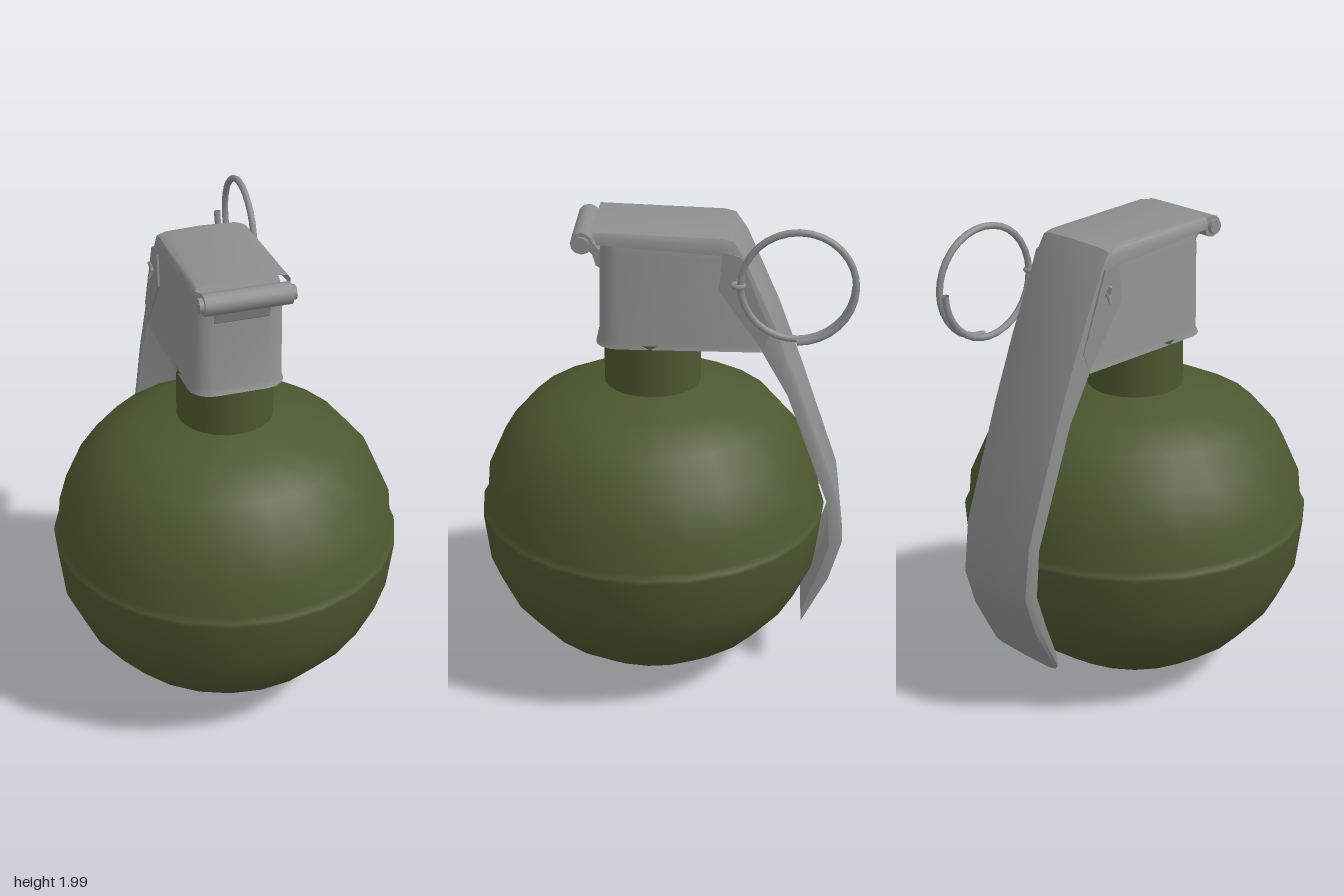
import * as THREE from 'three';
import { toCreasedNormals } from 'three/addons/utils/BufferGeometryUtils.js';

// Skin a list of equal-length point rows; optionally close each row and cap both ends
function loft(rows, closed, capped) {
  const n = rows[0].length, index = [], pos = rows.flat(2);
  const cols = closed ? n : n - 1;
  for (let i = 0; i < rows.length - 1; i++) {
    for (let j = 0; j < cols; j++) {
      const a = i * n + j, b = i * n + (j + 1) % n;
      index.push(a, b, b + n, a, b + n, a + n);
    }
  }
  if (capped) {
    const last = (rows.length - 1) * n;
    for (let j = 1; j < n - 1; j++) {
      index.push(0, j + 1, j, last, last + j, last + j + 1);
    }
  }
  const g = new THREE.BufferGeometry();
  g.setAttribute('position', new THREE.Float32BufferAttribute(pos, 3));
  g.setIndex(index);
  return toCreasedNormals(g, 0.7);
}

// Horizontal rounded rectangle, counter-clockwise seen from above
function roundedRing(y, w, front, back, rFront, rBack) {
  const pts = [];
  const corners = [
    [w - rFront, front - rFront, rFront, 0], [w - rBack, back + rBack, rBack, 1],
    [-w + rBack, back + rBack, rBack, 2], [-w + rFront, front - rFront, rFront, 3],
  ];
  for (const [x, z, r, q] of corners) {
    for (let k = 0; k <= 4; k++) {
      const a = Math.PI / 2 * (1 - q - k / 4);
      pts.push([x + r * Math.cos(a), y, z + r * Math.sin(a)]);
    }
  }
  return pts;
}

// Flat plate drawn in (z, y) and extruded along x, centred on x
function sidePlate(points, x, thickness) {
  const shape = new THREE.Shape(points.map(([z, y]) => new THREE.Vector2(-z, y)));
  const g = new THREE.ExtrudeGeometry(shape, { depth: thickness, bevelEnabled: false });
  g.translate(0, 0, -thickness / 2);
  g.rotateY(Math.PI / 2);
  g.translate(x, 0, 0);
  return g;
}

export function createModel() {
  const group = new THREE.Group();
  const olive = new THREE.MeshStandardMaterial({ color: 0x4c5830 });
  olive.name = 'olive paint';
  const steel = new THREE.MeshStandardMaterial({ color: 0x8e8e8e, side: THREE.DoubleSide });
  steel.name = 'grey steel';

  function add(name, geometry, material, x = 0, y = 0, z = 0) {
    const mesh = new THREE.Mesh(geometry, material);
    mesh.name = name;
    mesh.position.set(x, y, z);
    group.add(mesh);
    return mesh;
  }

  // Round body with a raised belt at the equator
  const profile = [
    [0, 0.008], [0.195, 0.03], [0.36, 0.09], [0.5, 0.19], [0.62, 0.33], [0.695, 0.49],
    [0.72, 0.695], [0.718, 0.712], [0.7, 0.73], [0.69, 0.85], [0.617, 1.015],
    [0.51, 1.14], [0.36, 1.215], [0.19, 1.262],
  ].map(([r, y]) => new THREE.Vector2(r, y));
  add('body', new THREE.LatheGeometry(profile, 24), olive, 0, 0, 0.045);
  add('neck', new THREE.CylinderGeometry(0.197, 0.197, 0.24, 24), olive, 0, 1.36, 0.045);

  // Fuze housing with a flared foot, leaning back under the lever
  add('fuzeHousing', loft([
    roundedRing(1.465, 0.197, 0.265, -0.41, 0.09, 0.02),
    roundedRing(1.49, 0.19, 0.252, -0.4, 0.08, 0.02),
    roundedRing(1.85, 0.187, 0.245, -0.28, 0.07, 0.02),
    roundedRing(1.9, 0.175, 0.235, -0.25, 0.06, 0.02),
  ], true, true), steel);

  // Safety lever: channel swept over the head and down the back
  // Each station: outer z, y then flange edge z, y
  const stations = [
    [0.265, 1.955, 0.25, 1.9], [-0.24, 1.942, -0.23, 1.865], [-0.285, 1.935, -0.25, 1.84],
    [-0.335, 1.865, -0.27, 1.75], [-0.47, 1.56, -0.4, 1.466], [-0.57, 1.285, -0.505, 1.28],
    [-0.729, 0.825, -0.68, 0.8], [-0.756, 0.6, -0.697, 0.6], [-0.707, 0.43, -0.654, 0.46],
    [-0.592, 0.215, -0.592, 0.285],
  ];
  const section = [
    [-1, 0], [-0.99, 0.55], [-0.93, 0.84], [-0.75, 0.95], [0, 1],
    [0.75, 0.95], [0.93, 0.84], [0.99, 0.55], [1, 0],
  ];
  add('safetyLever', loft(stations.map(([oz, oy, iz, iy]) => section.map(([u, v]) =>
    [u * 0.195, iy + (oy - iy) * v, iz + (oz - iz) * v])), false, false), steel);

  // Ears on both sides of the lever that hold the pin
  const ear = [[-0.24, 1.88], [-0.225, 1.72], [-0.29, 1.63], [-0.4, 1.47], [-0.43, 1.55], [-0.31, 1.86]];
  for (const s of [1, -1]) {
    add(s > 0 ? 'leftEar' : 'rightEar', sidePlate(ear, s * 0.191, 0.009), steel);
  }

  // Hinge roller at the front with its bracket
  const roller = add('hingeRoller', new THREE.CylinderGeometry(0.044, 0.044, 0.35, 12), steel, 0, 1.897, 0.311);
  roller.rotation.z = Math.PI / 2;
  const axle = add('hingeAxle', new THREE.CylinderGeometry(0.03, 0.03, 0.386, 10), steel, 0, 1.897, 0.311);
  axle.rotation.z = Math.PI / 2;
  add('hingeBracket', sidePlate(
    [[0.24, 1.77], [0.262, 1.785], [0.275, 1.83], [0.315, 1.865], [0.285, 1.89], [0.24, 1.84]], 0, 0.22), steel);

  // Pull pin through the housing, with eye and splayed ends
  const pin = add('pullPin', new THREE.CylinderGeometry(0.013, 0.013, 0.42, 8), steel, 0.005, 1.762, -0.3);
  pin.rotation.z = Math.PI / 2;
  const eye = add('pinEye', new THREE.TorusGeometry(0.022, 0.011, 6, 12), steel, 0.238, 1.762, -0.301);
  eye.rotation.x = Math.PI / 2;
  for (const s of [1, -1]) {
    const end = add('pinEnd', new THREE.CylinderGeometry(0.007, 0.009, 0.04, 6), steel, -0.204, 1.762 + s * 0.016, -0.3);
    end.rotation.z = s * 0.4 + (s < 0 ? Math.PI : 0);
  }

  // Split ring: a coil of one and a quarter turns
  const coil = [];
  for (let i = 0; i <= 30; i++) {
    const t = i / 30, a = t * Math.PI * 2.5;
    coil.push(new THREE.Vector3(0.224 + 0.044 * t, 1.764 - 0.222 * Math.sin(a), -0.532 - 0.222 * Math.cos(a)));
  }
  add('pullRing', new THREE.TubeGeometry(new THREE.CatmullRomCurve3(coil), 40, 0.014, 7), steel);

  return group;
}
